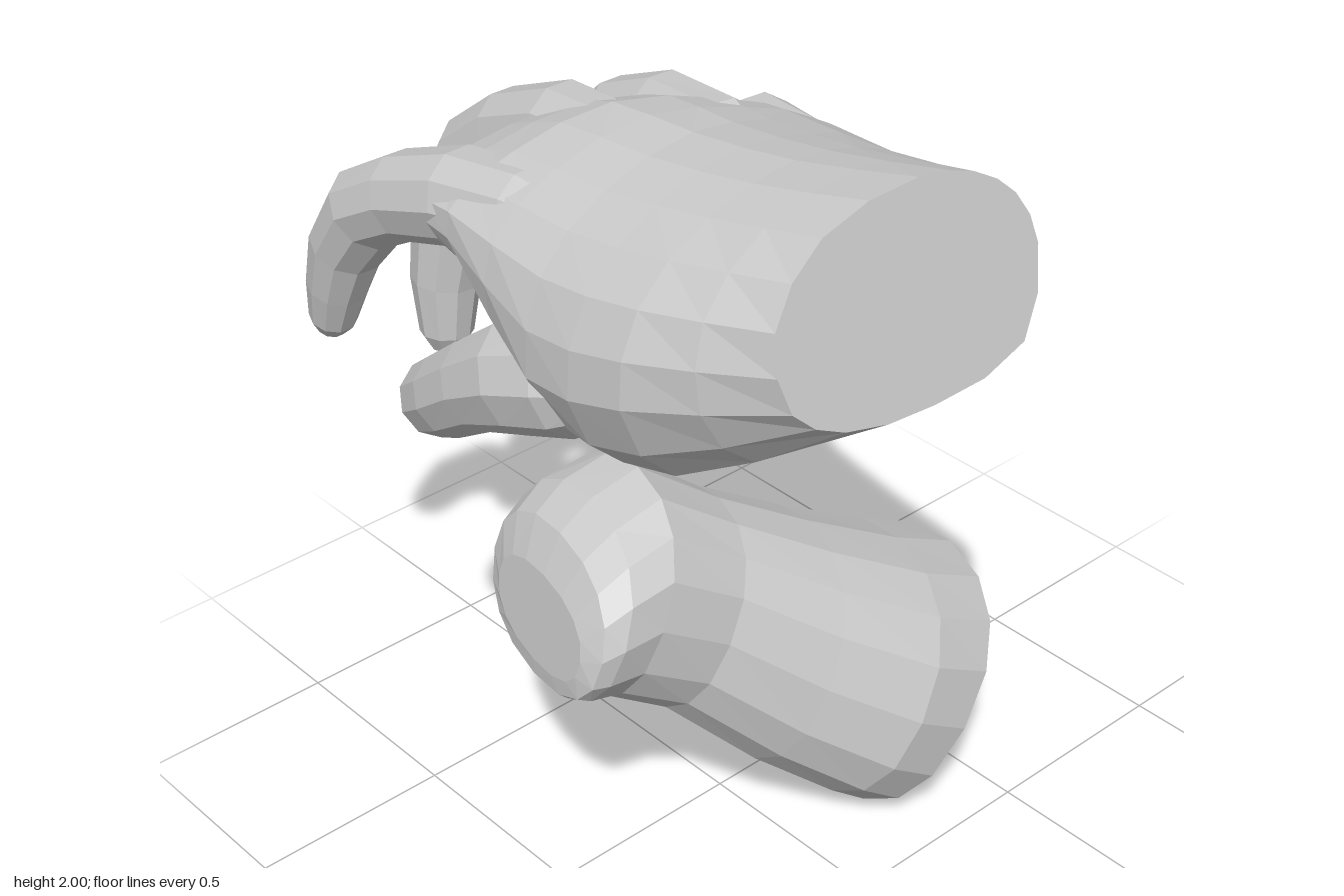
import * as THREE from 'three';

const V = (x, y, z) => new THREE.Vector3(x, y, z);
const material = new THREE.MeshStandardMaterial({ color: 0xcccccc, flatShading: true });

// Closed skin over a list of rings, with a fan at each end; always wound outwards
function loft(name, rings) {
  const n = rings[0].length;
  const pts = rings.flat();
  const index = [];
  for (let r = 0; r < rings.length - 1; r++) {
    for (let i = 0; i < n; i++) {
      const a = r * n + i, b = r * n + (i + 1) % n;
      index.push(a, b, a + n, b, b + n, a + n);
    }
  }
  for (const [r, flip] of [[0, true], [rings.length - 1, false]]) {
    const centre = V(0, 0, 0);
    rings[r].forEach((p) => centre.addScaledVector(p, 1 / n));
    const c = pts.push(centre) - 1;
    for (let i = 0; i < n; i++) {
      const a = r * n + i, b = r * n + (i + 1) % n;
      index.push(c, ...(flip ? [b, a] : [a, b]));
    }
  }
  let volume = 0;
  for (let i = 0; i < index.length; i += 3) {
    volume += pts[index[i]].dot(V(0, 0, 0).crossVectors(pts[index[i + 1]], pts[index[i + 2]]));
  }
  if (volume < 0) index.reverse();
  const geometry = new THREE.BufferGeometry().setFromPoints(pts);
  geometry.setIndex(index);
  geometry.computeVertexNormals();
  const mesh = new THREE.Mesh(geometry, material);
  mesh.name = name;
  return mesh;
}

// Finger: ten-sided rings along a path of [x, y, z, radius], ending in a rounded tip
function finger(name, path) {
  const p = path.map(([x, y, z]) => V(x, y, z));
  const radius = path.map((q) => q[3]);
  const last = p.length - 1;
  const end = p[last].clone().sub(p[last - 1]).normalize();
  p.push(p[last].clone().addScaledVector(end, radius[last] * 0.65));
  radius.push(radius[last] * 0.6);
  return loft(name, p.map((c, i) => {
    const t = p[Math.min(i + 1, p.length - 1)].clone().sub(p[Math.max(i - 1, 0)]).normalize();
    const u = V(0, 0, 1).addScaledVector(t, -t.z).normalize();
    const v = V(0, 0, 0).crossVectors(t, u);
    return Array.from({ length: 10 }, (_, k) => {
      const a = k * Math.PI / 5;
      return c.clone().addScaledVector(u, Math.cos(a) * radius[i]).addScaledVector(v, Math.sin(a) * radius[i]);
    });
  }));
}

// Palm: outlines of [z, y] from the little finger side, over the back, round to the palm,
// smoothed around each outline and then from wrist to knuckles
function palm() {
  const sections = [
    { x: (y, z) => 0.77 - 0.23 * (y - 1.785) - 0.12 * (z - 0.22),
      outline: [[-0.09, 1.8], [-0.05, 1.91], [0.04, 1.975], [0.17, 2], [0.4, 1.95],
        [0.53, 1.81], [0.52, 1.65], [0.41, 1.58], [0.2, 1.565], [-0.03, 1.62]] },
    { x: () => 0.43,
      outline: [[-0.185, 1.72], [-0.12, 1.83], [0.03, 1.905], [0.2, 1.935], [0.42, 1.89],
        [0.6, 1.76], [0.65, 1.56], [0.51, 1.35], [0.25, 1.45], [-0.06, 1.51]] },
    { x: () => 0.14,
      outline: [[-0.26, 1.65], [-0.19, 1.78], [-0.01, 1.85], [0.2, 1.89], [0.43, 1.84],
        [0.6, 1.71], [0.645, 1.5], [0.51, 1.325], [0.24, 1.5], [-0.09, 1.47]] },
    { x: (y, z) => -0.12 + 0.25 * (0.25 - z),
      outline: [[-0.3, 1.63], [-0.23, 1.74], [-0.05, 1.82], [0.2, 1.87], [0.42, 1.81],
        [0.565, 1.71], [0.55, 1.6], [0.4, 1.57], [0.15, 1.62], [-0.12, 1.55]] },
    { x: (y, z) => -0.31 + 0.4 * (0.25 - z),
      outline: [[-0.29, 1.64], [-0.23, 1.71], [-0.05, 1.77], [0.18, 1.8], [0.4, 1.73],
        [0.53, 1.67], [0.52, 1.6], [0.38, 1.6], [0.16, 1.65], [-0.08, 1.62]] },
  ];
  const outlines = sections.map(({ x, outline }) => new THREE.CatmullRomCurve3(
    outline.map(([z, y]) => V(x(y, z), y, z)), true).getPoints(20).slice(0, 20));
  const columns = outlines[0].map((_, i) => new THREE.CatmullRomCurve3(outlines.map((o) => o[i])).getPoints(8));
  return loft('palm', columns[0].map((_, r) => columns.map((column) => column[r])));
}

// Stump: each ring spans a top and a bottom [z, y], with its centre and half width in x;
// the rings turn with the slanting axis
function stump() {
  const rings = [
    [[0.47, 0.83], [0.51, 0.62], -0.06, 0.19],
    [[0.42, 0.92], [0.51, 0.58], -0.06, 0.25],
    [[0.33, 0.97], [0.49, 0.56], -0.06, 0.268],
    [[0.2, 1.0], [0.41, 0.53], -0.05, 0.26],
    [[0.02, 0.87], [0.26, 0.44], 0.02, 0.215],
    [[-0.2, 0.74], [0.06, 0.23], 0.09, 0.26],
    [[-0.44, 0.61], [-0.12, 0.08], 0.15, 0.31],
    [[-0.62, 0.52], [-0.22, 0.0], 0.158, 0.312],
    [[-0.665, 0.4], [-0.32, 0.0], 0.15, 0.25],
    [[-0.61, 0.28], [-0.44, 0.1], 0.14, 0.12],
  ];
  const sides = 16;
  const square = (s) => Math.sign(s) * Math.abs(s) ** 0.88;
  return loft('stump', rings.map(([top, bottom, x, width]) => Array.from({ length: sides }, (_, k) => {
    const a = (k / sides) * Math.PI * 2;
    const f = (1 + square(Math.sin(a))) / 2;
    const dx = square(Math.cos(a)) * width;
    return V(x + dx, THREE.MathUtils.lerp(bottom[1], top[1], f),
      THREE.MathUtils.lerp(bottom[0], top[0], f) + 0.2 * dx);
  })));
}

export function createModel() {
  const model = new THREE.Group();
  model.name = 'handAndStump';

  const hand = new THREE.Group();
  hand.name = 'hand';
  hand.add(
    palm(),
    finger('thumb', [[0.28, 1.49, 0.5, 0.08], [0.13, 1.455, 0.515, 0.135],
      [0.0, 1.405, 0.54, 0.128], [-0.13, 1.33, 0.55, 0.106], [-0.25, 1.245, 0.54, 0.098],
      [-0.34, 1.185, 0.52, 0.09], [-0.385, 1.155, 0.505, 0.07]]),
    finger('indexFinger', [[0.15, 1.72, 0.43, 0.06], [-0.08, 1.71, 0.445, 0.1], [-0.28, 1.675, 0.455, 0.108],
      [-0.48, 1.605, 0.465, 0.1], [-0.62, 1.525, 0.47, 0.1], [-0.71, 1.4, 0.48, 0.087],
      [-0.755, 1.28, 0.485, 0.072], [-0.785, 1.185, 0.485, 0.056]]),
    finger('middleFinger', [[0.12, 1.75, 0.2, 0.06], [-0.1, 1.76, 0.195, 0.1], [-0.29, 1.73, 0.17, 0.108],
      [-0.48, 1.655, 0.165, 0.102], [-0.61, 1.555, 0.165, 0.105], [-0.685, 1.4, 0.2, 0.098],
      [-0.705, 1.22, 0.22, 0.083], [-0.7, 1.085, 0.23, 0.064]]),
    finger('ringFinger', [[0.18, 1.73, 0.02, 0.06], [0, 1.745, -0.01, 0.1], [-0.22, 1.715, -0.05, 0.102],
      [-0.37, 1.655, -0.055, 0.098], [-0.46, 1.565, -0.05, 0.1], [-0.505, 1.42, -0.01, 0.095],
      [-0.525, 1.22, 0.025, 0.08], [-0.51, 1.065, 0.06, 0.064]]),
    finger('littleFinger', [[0.2, 1.65, -0.1, 0.06], [0.03, 1.66, -0.2, 0.095], [-0.12, 1.64, -0.235, 0.1],
      [-0.235, 1.575, -0.245, 0.094], [-0.305, 1.45, -0.24, 0.09], [-0.34, 1.32, -0.22, 0.079],
      [-0.35, 1.21, -0.175, 0.069], [-0.34, 1.135, -0.145, 0.054]]),
  );
  model.add(hand, stump());
  return model;
}
